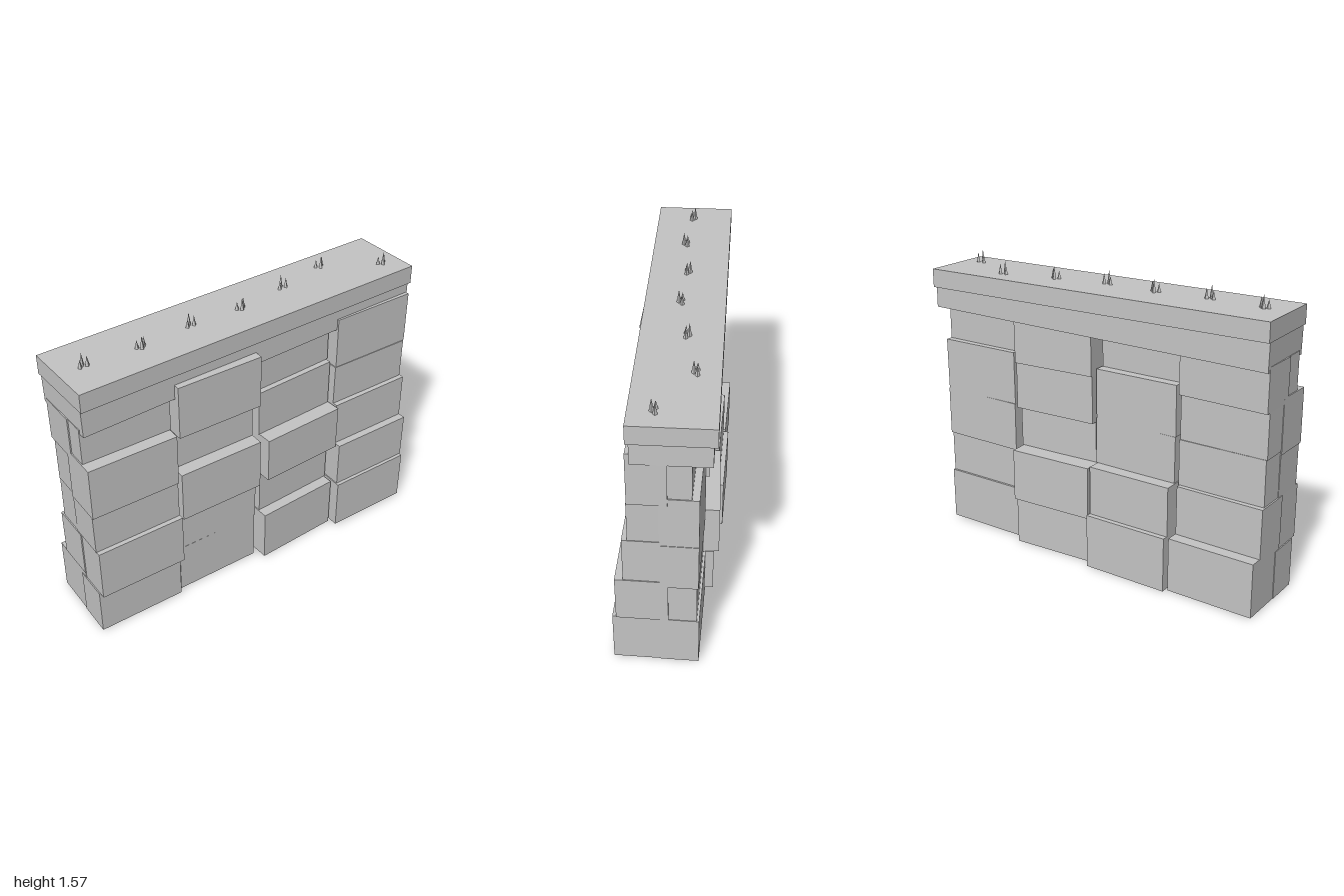
import * as THREE from 'three';

const stone = new THREE.MeshStandardMaterial({ color: 0xc4c4c4 });
stone.name = 'paleStone';
stone.flatShading = true;

// Each column: centre x, yaw, row heights and how far each row sticks out (bottom to top)
const columns = [
  { x: -0.757, yaw: -0.032,
    frontY: [0.005, 0.27, 0.563, 0.79, 1.08, 1.28], frontZ: [0.165, 0.2, 0.175, 0.19, 0.125],
    backY: [0.005, 0.3, 0.565, 0.81, 1.05, 1.28], backZ: [0.255, 0.19, 0.165, 0.162, 0.19] },
  { x: -0.257, yaw: -0.028,
    frontY: [0, 0.29, 0.53, 0.82, 1.045, 1.34], frontZ: [0.15, 0.15, 0.198, 0.125, 0.19],
    backY: [0, 0.3, 0.57, 0.82, 1.09, 1.29], backZ: [0.258, 0.23, 0.16, 0.162, 0.11] },
  { x: 0.248, yaw: 0.028,
    frontY: [0, 0.3, 0.563, 0.82, 1.08, 1.3], frontZ: [0.205, 0.145, 0.222, 0.14, 0.11],
    backY: [0, 0.27, 0.56, 0.79, 1.05, 1.3], backZ: [0.21, 0.237, 0.14, 0.18, 0.195] },
  { x: 0.75, yaw: -0.02,
    frontY: [0.008, 0.3, 0.563, 0.82, 1.05, 1.34], frontZ: [0.255, 0.236, 0.195, 0.168, 0.165],
    backY: [0.008, 0.3, 0.53, 0.8, 1.09, 1.3], backZ: [0.17, 0.158, 0.165, 0.165, 0.13] },
];

function box(name, w, h, d, x, y, z) {
  const mesh = new THREE.Mesh(new THREE.BoxGeometry(w, h, d), stone);
  mesh.name = name;
  mesh.position.set(x, y, z);
  return mesh;
}

// One stack of blocks on the front (side = 1) or back (side = -1) of a column
function blockStack(name, ys, zs, side, seed) {
  const stack = new THREE.Group();
  stack.name = name;
  zs.forEach((reach, r) => {
    const h = ys[r + 1] - ys[r];
    const depth = reach + 0.02;
    const block = box('block', 0.481, h, depth, (((seed + r * 2) % 3) - 1) * 0.003,
      ys[r] + h / 2, side * (reach - depth / 2));
    block.rotation.z = r === 0 ? 0 : (((seed + r * 2) % 5) - 2) * 0.003;
    stack.add(block);
  });
  return stack;
}

// Three thin spikes, the middle one tallest
function grassTuft(x, z, dir) {
  const tuft = new THREE.Group();
  tuft.name = 'grassTuft';
  [[-0.019, 0, 0.045], [0, 0.017 * dir, 0.07], [0.019, 0, 0.055]].forEach(([dx, dz, h]) => {
    const spike = new THREE.Mesh(new THREE.ConeGeometry(0.012, h, 4), stone);
    spike.name = 'spike';
    spike.position.set(dx, h / 2, dz);
    tuft.add(spike);
  });
  tuft.position.set(x, 1.499, z);
  return tuft;
}

export function createModel() {
  const wall = new THREE.Group();
  wall.name = 'stoneWall';

  // Block columns, with narrow open gaps between them
  columns.forEach((c, i) => {
    const column = new THREE.Group();
    column.name = 'blockColumn';
    column.add(blockStack('frontBlocks', c.frontY, c.frontZ, 1, i * 3));
    column.add(blockStack('backBlocks', c.backY, c.backZ, -1, i * 3 + 1));
    column.position.x = c.x;
    column.rotation.y = c.yaw;
    wall.add(column);
  });

  // Slightly tilted lintel course, under a level cap
  const lintel = box('lintel', 1.99, 0.16, 0.367, 0, 1.35, -0.0335);
  lintel.rotation.z = 0.0175;
  wall.add(lintel);
  wall.add(box('cap', 2, 0.1, 0.4, 0, 1.45, -0.035));

  // Grass along the top
  [[-0.87, -0.02, -1], [-0.575, -0.01, 1], [-0.28, -0.025, -1], [0.01, -0.02, 1],
    [0.305, -0.055, -1], [0.6, -0.125, 1], [0.89, 0.04, 1]]
    .forEach(([x, z, dir]) => wall.add(grassTuft(x, z, dir)));

  return wall;
}
